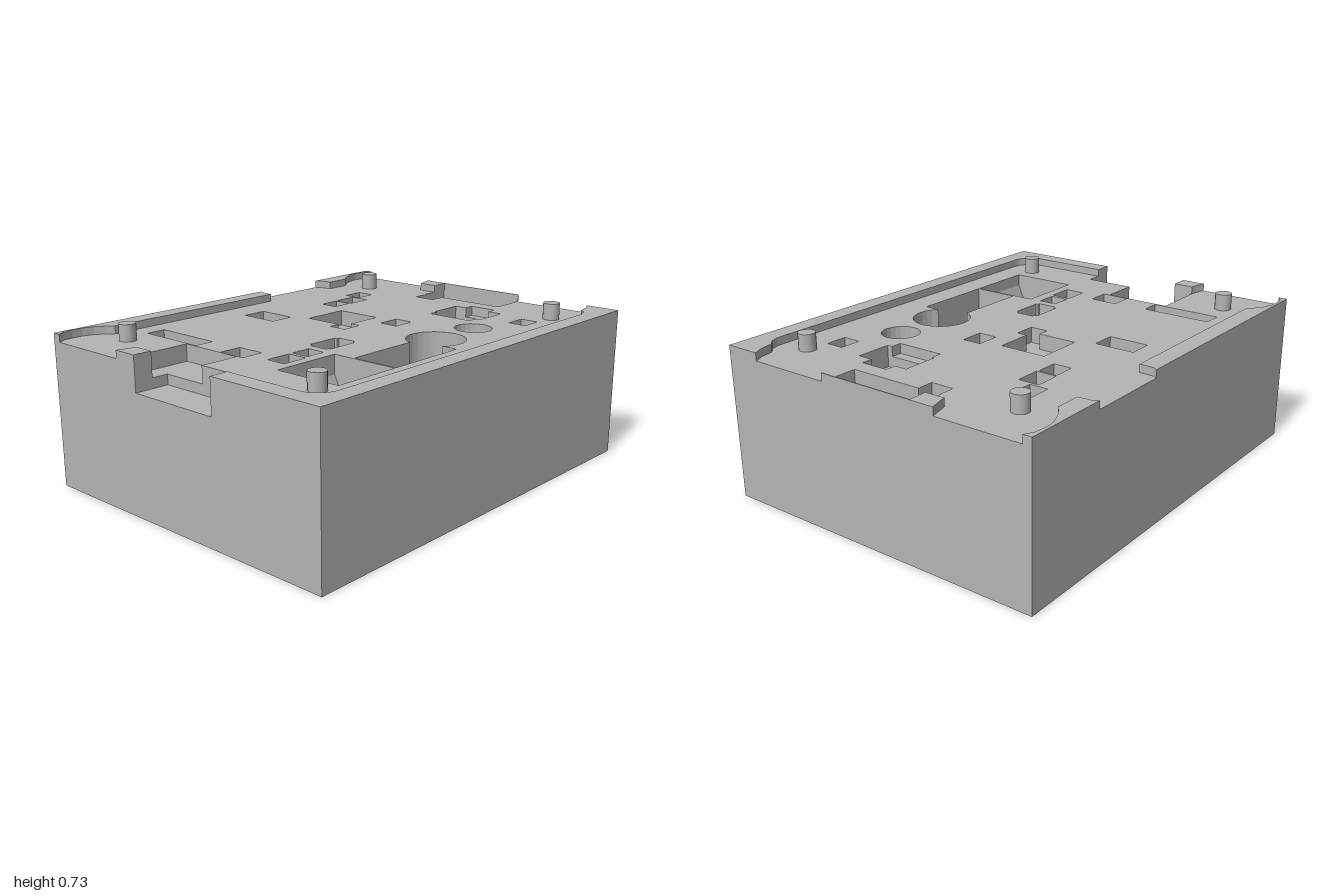
import * as THREE from 'three';

const BASE = 0.42, DECK = 0.655, RIM = 0.69;

export function createModel() {
  const group = new THREE.Group();
  const grey = new THREE.MeshStandardMaterial({ color: 0xb4b4b4 });
  grey.name = 'plain grey';

  const add = (name, geometry) => {
    const mesh = new THREE.Mesh(geometry, grey);
    mesh.name = name;
    group.add(mesh);
    return mesh;
  };
  const rect = (x0, x1, z0, z1) => [[x0, z0], [x1, z0], [x1, z1], [x0, z1]];
  const arc = (x, z, r, a0, a1, n) => Array.from({ length: n + 1 }, (_, i) => {
    const a = a0 + (a1 - a0) * i / n;
    return [x + r * Math.cos(a), z + r * Math.sin(a)];
  });
  const toPoints = (list) => list.map(([x, z]) => new THREE.Vector2(x, z));

  // upright solid from a plan outline (x, z) between two heights
  const solid = (name, outline, y0, y1, holes = []) => {
    const shape = new THREE.Shape(toPoints(outline));
    holes.forEach((h) => shape.holes.push(new THREE.Path(toPoints(h))));
    const g = new THREE.ExtrudeGeometry(shape, { depth: y1 - y0, bevelEnabled: false });
    g.rotateX(Math.PI / 2).translate(0, y1, 0);
    return add(name, g);
  };

  // pockets: each outline is cut through the deck, then floored at its own height
  const holes = [];
  const pocket = (outline, floor, floorHoles = []) => {
    holes.push(outline);
    solid('pocketFloor', outline, BASE, floor, floorHoles);
  };

  // simple rectangular pockets: x0, x1, z0, z1, floor height
  [
    [-0.12, -0.005, -0.545, -0.36, 0.59],
    [0.305, 0.405, -0.45, -0.365, 0.6],
    [0.415, 0.53, -0.455, -0.36, 0.6],
    [0.545, 0.645, -0.51, -0.425, 0.6],
    [0.18, 0.29, 0.03, 0.12, 0.59],
    [0.575, 0.675, 0.46, 0.545, 0.6],
    [-0.61, -0.49, 0.115, 0.21, 0.59],
    [-0.47, -0.375, 0.115, 0.2, 0.6],
    [-0.655, -0.55, -0.11, 0.02, 0.58],
  ].forEach(([x0, x1, z0, z1, y]) => pocket(rect(x0, x1, z0, z1), y));

  // pocket with narrow ears
  pocket([[-0.32, 0.07], [-0.17, 0.07], [-0.17, 0.085], [-0.157, 0.085], [-0.157, 0.175], [-0.17, 0.175],
    [-0.17, 0.185], [-0.32, 0.185], [-0.32, 0.175], [-0.333, 0.175], [-0.333, 0.085], [-0.32, 0.085]], 0.59);

  // long strip pocket with four square pin holes
  const pins = [-0.545, -0.47, -0.395, -0.32].map((z) => rect(-0.62, -0.58, z - 0.02, z + 0.02));
  pocket(rect(-0.65, -0.56, -0.595, -0.27), 0.59, pins);

  // round pocket
  pocket(arc(0.38, 0.4, 0.085, 0, Math.PI * 2 * 23 / 24, 23), 0.53);

  // round pocket opening into a long one
  pocket([[-0.36, 0.355], [-0.36, 0.57], [0.025, 0.57], ...arc(0.11, 0.4, 0.13, 2.286, -2.79, 24)], 0.49);
  solid('pocketStep', rect(-0.36, -0.015, 0.355, 0.445), 0.49, 0.53);

  // square pocket with a small corner pocket
  pocket([[0.035, -0.28], [0.255, -0.28], [0.255, -0.06], [0.08, -0.06], [0.08, -0.01],
    [-0.02, -0.01], [-0.02, -0.095], [0.035, -0.095]], 0.585);

  // stepped pocket with side shelves
  pocket([[0.49, 0.075], [0.54, 0.075], [0.54, 0.065], [0.705, 0.065], [0.705, 0.125], [0.755, 0.125],
    [0.755, 0.255], [0.705, 0.255], [0.705, 0.325], [0.54, 0.325], [0.54, 0.3], [0.49, 0.3]], 0.56);
  solid('pocketShelf', rect(0.49, 0.54, 0.075, 0.3), 0.56, 0.61);
  solid('pocketShelf', rect(0.705, 0.755, 0.125, 0.255), 0.56, 0.61);

  // deep pocket with a rounded trough floor
  holes.push(rect(-0.69, -0.37, 0.255, 0.57));
  const trough = new THREE.Shape(toPoints([[0.255, BASE], [0.57, BASE], [0.57, 0.6], [0.55, 0.55],
    [0.535, 0.52], [0.515, 0.49], [0.485, 0.45], [0.31, 0.45], [0.29, 0.49], [0.275, 0.53], [0.255, 0.57]]));
  add('troughFloor', new THREE.ExtrudeGeometry(trough, { depth: 0.32, bevelEnabled: false })
    .rotateY(-Math.PI / 2).translate(-0.37, 0, 0));
  solid('troughRib', rect(-0.454, -0.448, 0.345, 0.45), 0.45, 0.47);

  // right edge pocket behind a thin wall, with a small inner shelf
  pocket([[0.755, -0.22], [0.83, -0.22], [0.83, -0.225], [0.995, -0.225], [0.995, 0.225],
    [0.83, 0.225], [0.83, -0.115], [0.755, -0.115]], 0.535);
  solid('edgePocketShelf', rect(0.755, 0.83, -0.22, -0.115), 0.535, 0.59);

  // body and deck, with the left side notch in the deck outline
  const notch = [[-1, 0.225], [-0.84, 0.225], [-0.84, -0.01], [-0.66, -0.01], [-0.66, -0.32],
    [-0.915, -0.32], [-0.915, -0.225], [-1, -0.225]];
  solid('body', rect(-1, 1, -0.775, 0.775), 0, BASE);
  solid('deck', [[-1, -0.775], [1, -0.775], [1, 0.775], [-1, 0.775], ...notch], BASE, DECK, holes);
  solid('notchFloor', rect(-1, -0.84, -0.225, 0.225), BASE, 0.535);
  solid('notchShelf', [[-0.915, -0.32], [-0.66, -0.32], [-0.66, -0.01], [-0.84, -0.01],
    [-0.84, -0.225], [-0.915, -0.225]], BASE, 0.58);

  // raised rim pieces
  const rim = (name, outline) => solid(name, outline, DECK, RIM);
  rim('frontRim', [[-1, 0.225], [-0.915, 0.225], ...arc(-0.815, 0.59, 0.1, Math.PI, Math.PI / 2, 8),
    [0.82, 0.69], [0.86, 0.675], [0.89, 0.645], [0.95, 0.635], [1, 0.61], [1, 0.775], [-1, 0.775]]);
  rim('backLeftRim', [[-1, -0.775], [0.2, -0.775], [0.188, -0.755], [0.185, -0.69], [-0.75, -0.69],
    [-0.78, -0.72], [-0.82, -0.745], [-0.87, -0.76], [-0.92, -0.762], [-0.97, -0.755], [-1, -0.735]]);
  rim('backRightRim', [[0.595, -0.775], [1, -0.775], [1, -0.735], [0.96, -0.755], [0.9, -0.762],
    [0.85, -0.755], [0.8, -0.735], [0.76, -0.71], [0.735, -0.69], [0.615, -0.69], [0.61, -0.755]]);
  rim('leftRimBlock', [[-1, -0.34], [-0.95, -0.325], [-0.915, -0.32], [-0.915, -0.225], [-1, -0.225]]);
  rim('rightRimBlock', [[1, -0.34], [0.95, -0.325], [0.91, -0.315], [0.91, -0.225], [1, -0.225]]);
  rim('rightThinWall', rect(0.995, 1, -0.225, 0.23));

  // locating pins
  for (const x of [-0.783, 0.775]) for (const z of [-0.555, 0.555]) {
    add('locatingPin', new THREE.CylinderGeometry(0.038, 0.038, 0.075, 16)).position.set(x, 0.6925, z);
  }
  return group;
}
